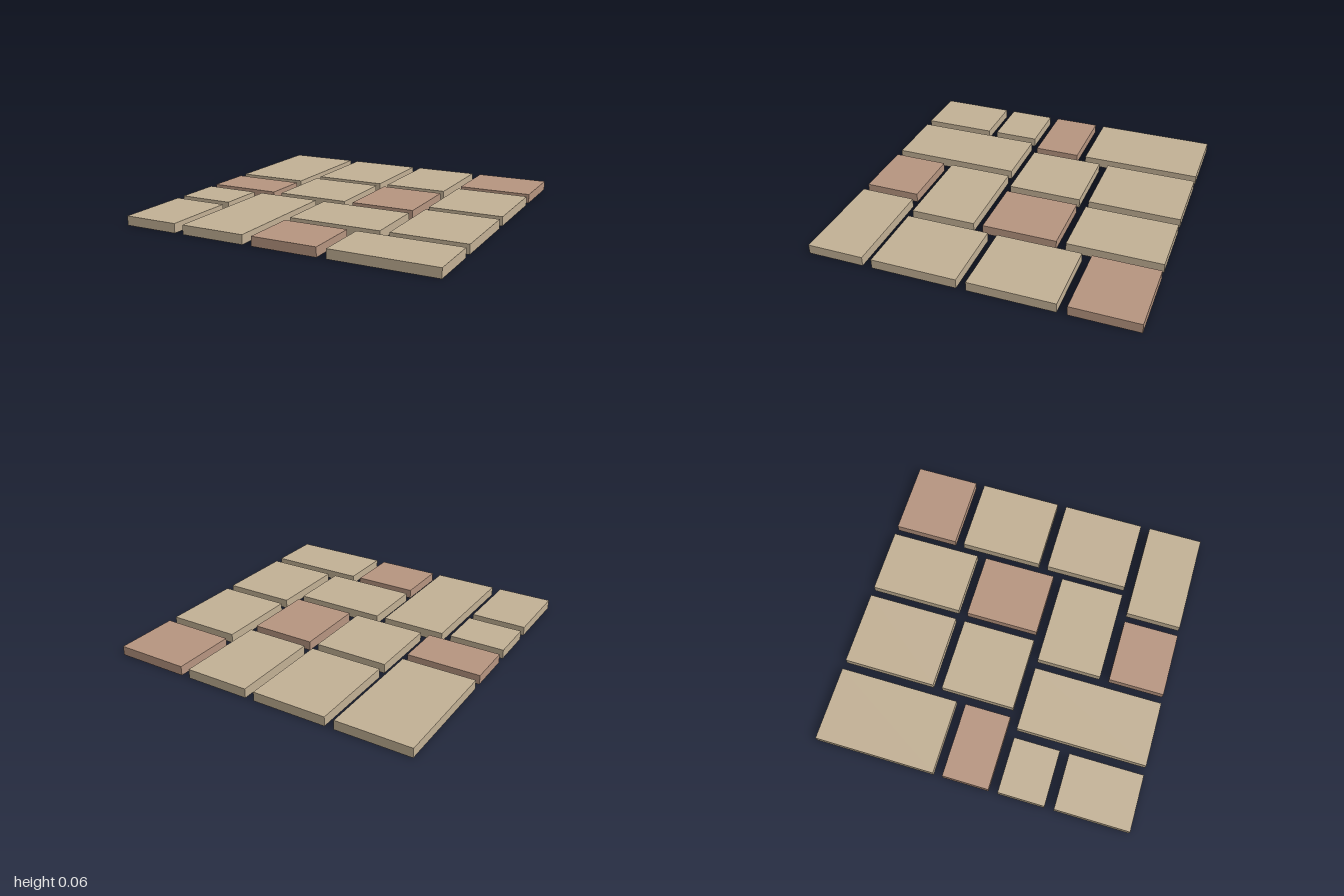
import * as THREE from 'three';

// The paving is laid out on a grid of 34 x 34 cells; joints are one cell wide.
const CELL = 1 / 17;
const THICKNESS = CELL;

// Each slab: [x0, x1, z0, z1] in cells from the centre.
const sandSlabs = [
  [-17, -9, -17, -4], [-8, 0, -17, -7], [1, 8, -17, -7],
  [9, 17, -9, 0], [-8, 0, -6, 2], [9, 17, 1, 10],
  [-17, -11, 3, 8], [-17, -11, 9, 17], [-10, -3, 3, 17],
  [-2, 8, 3, 10], [6, 17, 11, 17],
];
const claySlabs = [
  [9, 17, -17, -10], [-17, -9, -3, 2], [1, 8, -6, 2], [-2, 5, 11, 17],
];

function addSlabs(parent, name, slabs, color) {
  const group = new THREE.Group();
  group.name = name + 's';
  const material = new THREE.MeshStandardMaterial({ color });
  slabs.forEach(([x0, x1, z0, z1], i) => {
    const slab = new THREE.Mesh(
      new THREE.BoxGeometry((x1 - x0) * CELL, THICKNESS, (z1 - z0) * CELL), material);
    slab.position.set((x0 + x1) / 2 * CELL, THICKNESS / 2, (z0 + z1) / 2 * CELL);
    slab.name = name + (i + 1);
    group.add(slab);
  });
  parent.add(group);
}

export function createModel() {
  const paving = new THREE.Group();
  paving.name = 'paving';
  addSlabs(paving, 'sandSlab', sandSlabs, 0xc4b296);
  addSlabs(paving, 'claySlab', claySlabs, 0xb89681);
  return paving;
}
